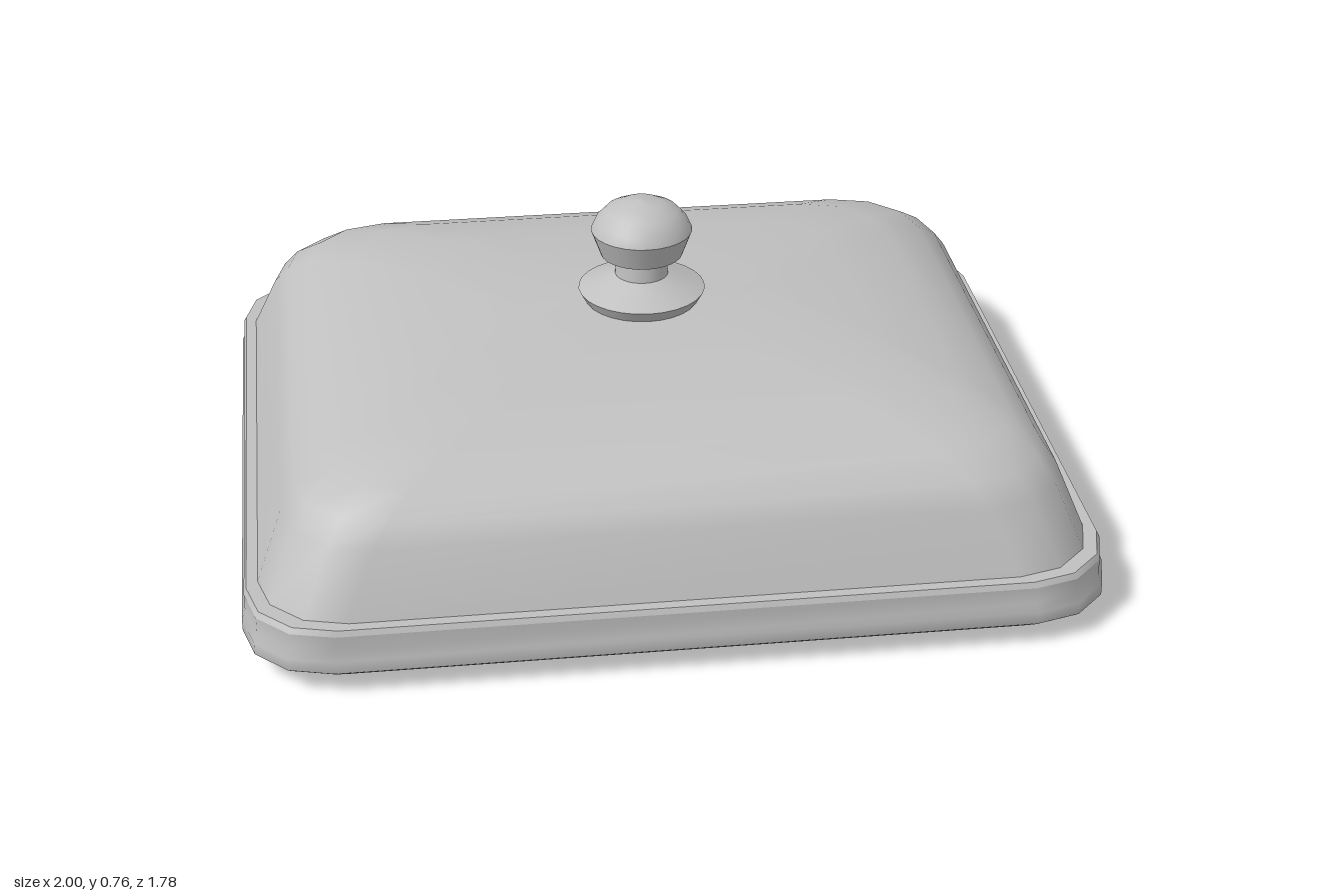
import * as THREE from 'three';

const HALF_X = 1, HALF_Z = 0.89, CORNER = 0.2, CORNER_STEPS = 3;

// Rounded rectangle set in from the outer edge; an inset of 1 closes at the centre
function ring(inset, y) {
  const hx = Math.max(HALF_X - inset, 0);
  const hz = inset >= 1 ? 0 : Math.max(HALF_Z - inset, 0);
  const r = Math.min(CORNER, hx, hz);
  const points = [];
  for (let q = 0; q < 4; q++) {
    const sx = q === 0 || q === 3 ? 1 : -1;
    const sz = q < 2 ? 1 : -1;
    for (let k = 0; k <= CORNER_STEPS; k++) {
      const a = (q + k / CORNER_STEPS) * Math.PI / 2;
      points.push(sx * (hx - r) + r * Math.cos(a), y, sz * (hz - r) + r * Math.sin(a));
    }
  }
  return points;
}

// Smooth skin through [inset, y] rings, listed from below to above
function loft(profile) {
  const n = 4 * (CORNER_STEPS + 1);
  const index = [];
  for (let i = 0; i < profile.length - 1; i++) {
    for (let j = 0; j < n; j++) {
      const a = i * n + j, b = i * n + (j + 1) % n;
      index.push(a, a + n, b, b, a + n, b + n);
    }
  }
  const geometry = new THREE.BufferGeometry();
  const positions = profile.flatMap(([inset, y]) => ring(inset, y));
  geometry.setAttribute('position', new THREE.Float32BufferAttribute(positions, 3));
  geometry.setIndex(index);
  geometry.computeVertexNormals();
  return geometry;
}

const turned = (profile) =>
  new THREE.LatheGeometry(profile.map(([x, y]) => new THREE.Vector2(x, y)), 28);

export function createModel() {
  const model = new THREE.Group();
  const metal = new THREE.MeshStandardMaterial({ color: 0xc0c0c0 });
  metal.name = 'brushed grey metal';

  // Each profile is its own smooth surface, so edges between them stay sharp
  function part(name, build, profiles) {
    const group = new THREE.Group();
    group.name = name;
    profiles.forEach((profile, i) => {
      const mesh = new THREE.Mesh(build(profile), metal);
      mesh.name = `${name}Surface${i + 1}`;
      group.add(mesh);
    });
    model.add(group);
  }

  // Shallow plug that drops inside the dish
  part('insert', loft, [
    [[1, 0], [0.1, 0]],
    [[0.1, 0], [0.1, 0.037]],
  ]);

  // Overhanging rim band
  part('rim', loft, [
    [[0.1, 0.037], [0.03, 0.037]],
    [[0.03, 0.037], [0.005, 0.055]],
    [[0.005, 0.055], [0, 0.06], [0, 0.09], [0.008, 0.11], [0.008, 0.15]],
    [[0.008, 0.15], [0.014, 0.163]],
    [[0.014, 0.163], [0.045, 0.163]],
  ]);

  // Domed cover
  part('dome', loft, [[
    [0.04, 0.163], [0.1, 0.31], [0.135, 0.36], [0.195, 0.41], [0.3, 0.45],
    [0.46, 0.482], [0.69, 0.5], [1, 0.504],
  ]]);

  // Turned knob: flared foot, neck, tapered cup and rounded cap
  part('knob', turned, [
    [[0.135, 0.495], [0.155, 0.53]],
    [[0.155, 0.53], [0.065, 0.568]],
    [[0.065, 0.568], [0.062, 0.605]],
    [[0.062, 0.605], [0.1, 0.622]],
    [[0.1, 0.622], [0.123, 0.685]],
    [[0.123, 0.685], [0.112, 0.71], [0.088, 0.736], [0.05, 0.755], [0, 0.762]],
  ]);

  return model;
}
